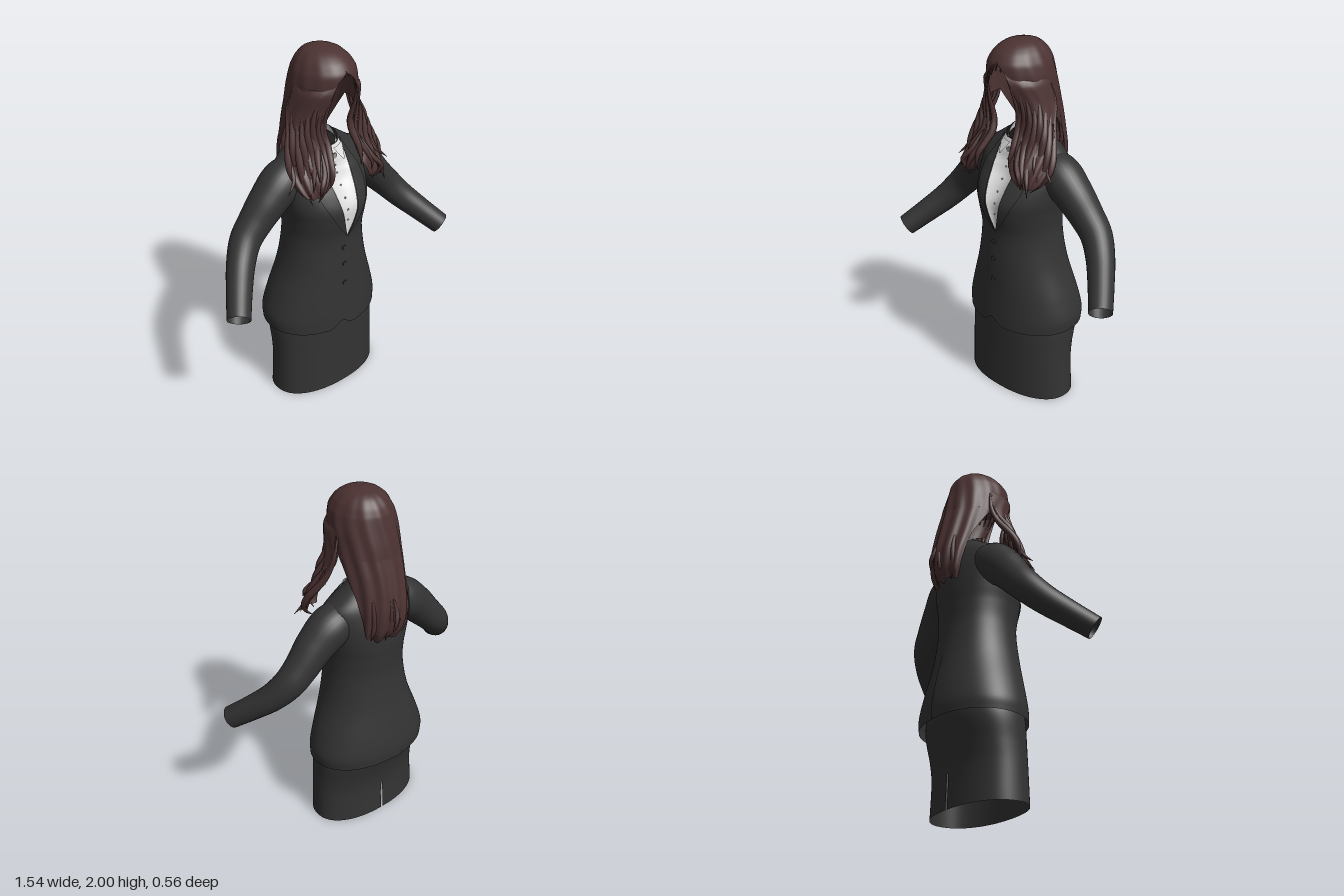
import * as THREE from 'three';
import { mergeVertices } from 'three/addons/utils/BufferGeometryUtils.js';

const mat = (name, color) => {
  const m = new THREE.MeshStandardMaterial({ color, side: THREE.DoubleSide });
  m.name = name;
  return m;
};
const clamp = THREE.MathUtils.clamp;

// Smooth interpolation of rows [key, a, b, ...] at a key
function at(rows, k) {
  const n = rows.length;
  k = clamp(k, rows[0][0], rows[n - 1][0]);
  let i = 0;
  while (i < n - 2 && k > rows[i + 1][0]) i++;
  const slope = (j, c) => {
    const p = rows[Math.max(j - 1, 0)], q = rows[Math.min(j + 1, n - 1)];
    return (q[c] - p[c]) / (q[0] - p[0]);
  };
  const A = rows[i], B = rows[i + 1], h = B[0] - A[0], t = (k - A[0]) / h;
  return A.slice(1).map((a, j) => {
    const c = j + 1, t2 = t * t, t3 = t2 * t;
    return (2 * t3 - 3 * t2 + 1) * a + (t3 - 2 * t2 + t) * h * slope(i, c)
      + (3 * t2 - 2 * t3) * B[c] + (t3 - t2) * h * slope(i + 1, c);
  });
}

// Weld the seams and smooth the normals
function smooth(g) {
  g.deleteAttribute('uv');
  g.deleteAttribute('normal');
  const merged = mergeVertices(g, 1e-5);
  merged.computeVertexNormals();
  return merged;
}

// Surface from fn(u, v) -> [x, y, z]; outward side is v cross u
function surface(nu, nv, fn) {
  const pos = [], idx = [];
  for (let j = 0; j <= nv; j++) for (let i = 0; i <= nu; i++) pos.push(...fn(i / nu, j / nv));
  for (let j = 0; j < nv; j++) for (let i = 0; i < nu; i++) {
    const a = j * (nu + 1) + i, b = a + 1, c = a + nu + 1, d = c + 1;
    idx.push(a, c, b, b, c, d);
  }
  const g = new THREE.BufferGeometry();
  g.setAttribute('position', new THREE.Float32BufferAttribute(pos, 3));
  g.setIndex(idx);
  return smooth(g);
}

// Tube with a radius at each control point
function taperedTube(points, radii, segs, sides) {
  const curve = new THREE.CatmullRomCurve3(points.map(p => new THREE.Vector3(...p)));
  const g = new THREE.TubeGeometry(curve, segs, 1, sides);
  const p = g.attributes.position, v = new THREE.Vector3();
  const rows = radii.map((r, i) => [i / (radii.length - 1), r]);
  for (let i = 0; i <= segs; i++) {
    const c = curve.getPointAt(i / segs), r = at(rows, curve.getUtoTmapping(i / segs))[0];
    for (let j = 0; j <= sides; j++) {
      const k = i * (sides + 1) + j;
      v.fromBufferAttribute(p, k).sub(c).multiplyScalar(r).add(c);
      p.setXYZ(k, v.x, v.y, v.z);
    }
  }
  return smooth(g);
}

// Oval cross-section point; angle 0 is the back, PI the front
const pw = (s, p) => Math.sign(s) * Math.abs(s) ** p;
const oval = (a, w, zf, zb, p = 1) =>
  [w * pw(Math.sin(a), p), (zf + zb) / 2 - (zf - zb) / 2 * pw(Math.cos(a), p)];

// Sections: height, half width, front z, back z (hair adds the half angle covered)
const TORSO = [[0.435, 0.345, 0.24, -0.25], [0.5, 0.348, 0.238, -0.252], [0.6, 0.32, 0.235, -0.24],
  [0.8, 0.252, 0.23, -0.2], [0.98, 0.224, 0.222, -0.178], [1.1, 0.23, 0.243, -0.182],
  [1.17, 0.243, 0.247, -0.188], [1.25, 0.255, 0.215, -0.188], [1.33, 0.26, 0.167, -0.178],
  [1.4, 0.25, 0.135, -0.15], [1.46, 0.17, 0.115, -0.105], [1.5, 0.11, 0.1, -0.07], [1.525, 0.085, 0.09, -0.05]];
const VEE = [[1.0, 0.001], [1.1, 0.034], [1.2, 0.057], [1.35, 0.077], [1.525, 0.075]];
const SKIRT = [[0, 0.335, 0.216, -0.16], [0.2, 0.327, 0.214, -0.155], [0.3, 0.325, 0.214, -0.17],
  [0.43, 0.325, 0.214, -0.203], [0.55, 0.3, 0.21, -0.21]];
const CROWN = [[1.69, 0.172, 0.182, -0.19, 2.6], [1.75, 0.171, 0.2, -0.178, 2.62], [1.82, 0.169, 0.212, -0.16, 2.66],
  [1.88, 0.157, 0.212, -0.145, 2.95], [1.905, 0.147, 0.203, -0.137, 3.1416], [1.95, 0.118, 0.165, -0.11, 3.1416],
  [1.985, 0.07, 0.1, -0.06, 3.1416], [2, 0.001, 0.02, 0.018, 3.1416]];
const BACK_HAIR = [[1.24, 0.13, -0.05, -0.205, 1.05], [1.3, 0.148, 0, -0.238, 1.12], [1.4, 0.158, 0.05, -0.25, 1.22],
  [1.5, 0.162, 0.1, -0.236, 1.28], [1.6, 0.167, 0.14, -0.214, 1.46], [1.69, 0.172, 0.182, -0.19, 1.62]];
// Front lock: height, inner x and z, outer x and z
const LOCK = [[1.27, 0.17, 0.21, 0.22, 0.2], [1.33, 0.13, 0.235, 0.275, 0.16], [1.4, 0.1, 0.23, 0.285, 0.12],
  [1.5, 0.085, 0.175, 0.257, 0.07], [1.6, 0.1, 0.15, 0.225, 0.03], [1.7, 0.095, 0.168, 0.2, -0.005],
  [1.8, 0.08, 0.2, 0.176, 0.01], [1.86, 0.05, 0.205, 0.155, 0.03]];

const POW = 0.94;
function torsoPoint(a, y, off = 0) {
  const [w, zf, zb] = at(TORSO, y);
  const [x, z] = oval(a, w + off, zf + off, zb - off, POW);
  const neck = clamp((y - 1.35) / 0.17, 0, 1);
  const hem = Math.max((0.6 - y) / 0.165, 0);
  const notch = z > 0 ? 0.045 * Math.exp(-(((x + 0.03) / 0.04) ** 2)) : 0;
  // the shirt opening sits a little lower than the lapels
  const vee = y > 1 && z > 0 ? at(VEE, y)[0] : 0;
  const sunk = vee ? 0.42 * vee * Math.max(0, 1 - (x / vee) ** 2) * clamp((1.45 - y) / 0.15, 0, 1) : 0;
  return [x, y - neck * 0.5 * z + hem * (notch - 0.06 * z), z - sunk];
}
// Torso surface point by x, on the front or back
function onTorso(x, y, off, back) {
  const w = at(TORSO, y)[0] + off;
  const s = Math.min(Math.abs(x) / w, 0.98) ** (1 / POW) * Math.sign(x);
  return torsoPoint(back ? Math.asin(s) : Math.PI - Math.asin(s), y, off);
}
// Thin plate lying on the torso between two edges [y, x]
function plate(y0, y1, left, right, off, back = false) {
  return surface(20, 40, (u, v) => {
    const y = y0 + (y1 - y0) * v, a = at(left, y)[0], b = at(right, y)[0];
    return onTorso(back ? a + (b - a) * u : b + (a - b) * u, y, off, back);
  });
}
function lockPoint(u, y, off = 0) {
  const [xi, zi, xo, zo] = at(LOCK, y);
  const b = 0.04 * Math.sin(Math.PI * u) * clamp((1.88 - y) / 0.08, 0.3, 1) + off;
  return [xo + (xi - xo) * u + b * 0.7, y, zo + (zi - zo) * u + b * 0.7];
}

export function createModel() {
  const group = new THREE.Group();
  const suit = mat('suit charcoal', 0x333333), white = mat('shirt white', 0xe0e0e0),
    hair = mat('hair brown', 0x4c3232), dark = mat('neck black', 0x161616),
    stud = mat('shirt button grey', 0x9a9a9a);
  const add = (name, geo, m, parent = group) => {
    const mesh = new THREE.Mesh(geo, m);
    mesh.name = name;
    parent.add(mesh);
    return mesh;
  };

  // Skirt with a slit at the back
  add('skirt', surface(72, 44, (u, v) => {
    const y = 0.55 * v, gap = 0.012 * clamp((0.21 - y) * 12, 0, 1);
    const [x, z] = oval(gap + (2 * Math.PI - 2 * gap) * u, ...at(SKIRT, y), 0.9);
    return [x, y, z];
  }), suit);

  // Jacket body, overlapping front and vent flaps, buttons
  add('jacketBody', surface(120, 80, (u, v) => torsoPoint(u * 2 * Math.PI, 0.435 + 1.09 * v)), suit);
  const edge = [[0.45, -0.03], [0.5, -0.043], [0.64, -0.045], [0.8, -0.03], [1, -0.002]];
  add('frontOverlap', plate(0.45, 1, edge, [[0.45, 0.02], [0.8, 0.02], [1, 0.004]], 0.004), suit);
  add('ventFlap', plate(0.435, 0.8, [[0.435, -0.06], [0.7, -0.05], [0.8, -0.015]],
    [[0.435, 0], [0.7, 0], [0.8, -0.01]], 0.004, true), suit);
  const disc = (name, x, y, r, off, m) => {
    const d = add(name, new THREE.CylinderGeometry(r, r, 0.006, 16), m);
    d.rotation.x = Math.PI / 2;
    d.position.set(...onTorso(x, y, off, false));
  };
  [0.71, 0.83, 0.93].forEach(y => disc('jacketButton', -0.016, y, 0.014, 0.006, suit));

  // Shirt front and its buttons
  add('shirtFront', plate(1.0, 1.525, VEE.map(([y, x]) => [y, -x]), VEE, 0.006), white);
  for (let i = 0; i < 6; i++) disc('shirtButton', 0, 1.1 + i * 0.06, 0.005, 0.007, stud);
  disc('throatButton', 0, 1.475, 0.015, 0.014, stud);

  // Shirt collar, higher at the back, with a dark neck opening
  add('shirtCollar', surface(48, 6, (u, v) => {
    const [x, z] = oval(u * 2 * Math.PI, 0.082 - 0.014 * v, 0.1 - 0.012 * v, -0.05 + 0.012 * v);
    return [x, 1.495 + 0.045 * v - z * (0.5 + 0.28 * v), z];
  }), white);
  add('neckOpening', surface(40, 3, (u, v) => {
    const [x, z] = oval(u * 2 * Math.PI, 0.074 * (1 - v), 0.09 - 0.065 * v, -0.042 + 0.067 * v);
    return [x, 1.5 - 0.38 * z, z];
  }), dark);

  // Mirrored parts
  for (const s of [1, -1]) {
    const side = new THREE.Group();
    side.name = s > 0 ? 'leftSide' : 'rightSide';
    side.scale.x = s;
    group.add(side);

    add('sleeve', taperedTube(
      [[0.12, 1.355, -0.02], [0.23, 1.31, -0.015], [0.33, 1.23, -0.01], [0.42, 1.135, -0.01],
        [0.49, 1.06, 0], [0.56, 0.975, 0.05], [0.64, 0.885, 0.14], [0.718, 0.798, 0.238]],
      [0.085, 0.112, 0.103, 0.09, 0.083, 0.075, 0.067, 0.061], 48, 28), suit, side);
    add('lapel', plate(1.0, 1.525, VEE,
      [[1.0, 0.006], [1.1, 0.08], [1.2, 0.135], [1.26, 0.155], [1.34, 0.15], [1.42, 0.125], [1.525, 0.083]], 0.01), suit, side);
    add('collarWing', plate(1.43, 1.52, [[1.43, 0.052], [1.52, 0.004]], [[1.43, 0.058], [1.52, 0.076]], 0.016), white, side);

    // Front lock of hair and the wavy strands over it
    add('frontLock', surface(28, 40, (u, v) => {
      const y = 1.3 + 0.56 * v;
      return lockPoint(u, y, 0.007 * Math.sin(u * 22 + 4 * Math.sin(y * 9)) * (1 - v));
    }), hair, side);
    for (let i = 0; i < 8; i++) {
      const u = i / 7, end = 1.265 + 0.04 * ((i * 5 + (s > 0 ? 0 : 2)) % 4), pts = [];
      for (let k = 0; k <= 10; k++) {
        const t = k / 10, y = 1.84 + (end - 1.84) * t;
        const [x, , z] = lockPoint(u, y, 0.016 * t - 0.014);
        const wave = 0.018 * t * Math.sin(t * 11 + i * 0.8);
        pts.push([x + wave, y, z + wave * 0.8]);
      }
      add('frontStrand', taperedTube(pts, [0.001, 0.008, 0.014, 0.019, 0.015, 0.001], 36, 7), hair, side);
    }
    // Loose flicked ends
    add('looseStrand', taperedTube([[0.225, 1.6, 0.04], [0.262, 1.48, 0.08], [0.28, 1.39, 0.14], [0.335, 1.33, 0.165]],
      [0.004, 0.012, 0.011, 0.001], 20, 6), hair, side);
    add('looseStrand', taperedTube([[0.13, 1.52, 0.17], [0.16, 1.42, 0.235], [0.2, 1.36, 0.262], [0.17, 1.28, 0.22]],
      [0.003, 0.014, 0.012, 0.001], 20, 6), hair, side);
  }

  // Hair crown, hollow, open over the face
  const ripple = (a, y, f) => 0.005 * f * Math.sin(13 * a + 3 * Math.sin(5 * y));
  add('hairCrown', surface(96, 48, (u, v) => {
    const y = 1.69 + 0.31 * Math.sin(v * Math.PI / 2);
    const [w, zf, zb, a] = at(CROWN, y), ang = Math.min(a, Math.PI) * (2 * u - 1);
    const o = ripple(ang, y, (1 - v) * Math.max(0, Math.cos(ang / 2)));
    const [x, z] = oval(ang, w + o, zf + o, zb - o);
    return [x, y, z];
  }), hair);

  // Long hair down the back with ragged ends
  add('backHair', surface(72, 44, (u, v) => {
    const y = 1.24 + 0.45 * v, [w, zf, zb, a] = at(BACK_HAIR, y), ang = a * (2 * u - 1);
    const o = ripple(ang, y, (1.4 - 0.4 * v) * Math.cos(ang / 2));
    const [x, z] = oval(ang, w + o, zf + o, zb - o);
    return [x, y + 0.012 * Math.sin(ang * 9) * (1 - v) ** 3, z];
  }), hair);
  for (let i = 0; i < 6; i++) {
    const x = -0.1 + i * 0.04, d = 3.5 * x * x;
    add('backStrand', taperedTube([[x, 1.56, -0.208 + d], [x * 1.05, 1.42, -0.236 + d],
      [x, 1.32, -0.23 + d], [x * 0.9 + 0.02, 1.235 + 0.01 * (i % 3), -0.21 + d * 0.6]],
    [0.002, 0.013, 0.015, 0.001], 20, 7), hair);
  }
  add('backFlick', taperedTube([[0.01, 1.5, -0.23], [0, 1.42, -0.255], [0.015, 1.36, -0.27], [0.03, 1.31, -0.262]],
    [0.002, 0.012, 0.01, 0.001], 16, 6), hair);
  return group;
}
